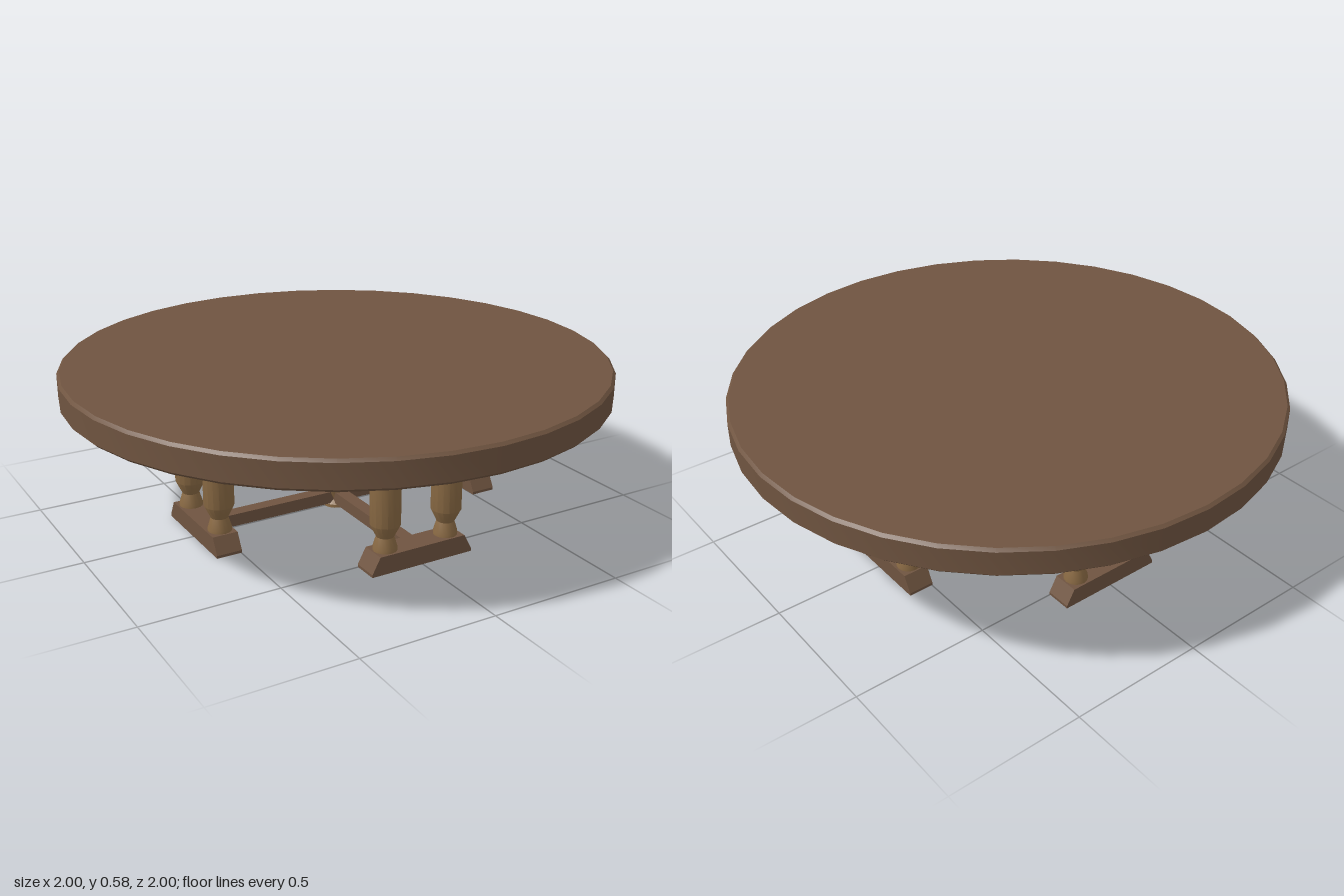
import * as THREE from 'three';
import { toCreasedNormals } from 'three/addons/utils/BufferGeometryUtils.js';

const material = (name, color) => Object.assign(new THREE.MeshStandardMaterial({ color }), { name });

// Turned part from [radius, height] pairs, listed bottom to top
function turned(profile, sides) {
  const points = profile.map(([r, y]) => new THREE.Vector2(r, y));
  return toCreasedNormals(new THREE.LatheGeometry(points, sides), 0.5);
}

export function createModel() {
  const table = new THREE.Group();
  table.name = 'roundTable';
  const darkWood = material('darkWood', 0x6f5440);
  const lightWood = material('lightWood', 0x8a6a44);

  const add = (parent, name, geometry, mat, x = 0, y = 0, z = 0) => {
    const mesh = new THREE.Mesh(geometry, mat);
    mesh.name = name;
    mesh.position.set(x, y, z);
    parent.add(mesh);
    return mesh;
  };

  // Round top with eased edges
  add(table, 'tabletop', turned([
    [0, 0.48], [0.99, 0.48], [1, 0.49], [1, 0.575], [0.99, 0.585], [0, 0.585],
  ], 36), darkWood);

  // Central turned column with a wide flange under the top
  add(table, 'centralColumn', turned([
    [0, 0], [0.05, 0], [0.05, 0.012], [0.035, 0.03], [0.05, 0.075], [0.075, 0.15],
    [0.075, 0.325], [0.049, 0.36], [0.049, 0.45], [0.07, 0.452], [0.12, 0.475], [0.12, 0.482], [0, 0.482],
  ], 20), lightWood);

  // Shared parts of the four supports
  const post = turned([
    [0, 0.065], [0.043, 0.065], [0.043, 0.078], [0.031, 0.118], [0.054, 0.165],
    [0.054, 0.335], [0.032, 0.365], [0.032, 0.442], [0.06, 0.472], [0.06, 0.482], [0, 0.482],
  ], 16);
  const footShape = new THREE.Shape([
    [-0.203, 0], [0.203, 0], [0.203, 0.01], [0.172, 0.068], [-0.172, 0.068], [-0.203, 0.01],
  ].map(([x, y]) => new THREE.Vector2(x, y)));
  const foot = new THREE.ExtrudeGeometry(footShape, { depth: 0.095, bevelEnabled: false });
  foot.translate(0, 0, -0.0475);
  const stretcher = new THREE.BoxGeometry(0.05, 0.046, 0.53);

  // Four supports: stretcher, foot and a pair of posts each
  ['front', 'left', 'back', 'right'].forEach((side, i) => {
    const support = new THREE.Group();
    support.name = side + 'Support';
    support.rotation.y = i * Math.PI / 2;
    add(support, 'stretcher', stretcher, darkWood, 0, 0.038, 0.265);
    add(support, 'foot', foot, darkWood, 0, 0, 0.545);
    for (const x of [-0.124, 0.124]) add(support, 'post', post, lightWood, x, 0, 0.543);
    table.add(support);
  });

  return table;
}
